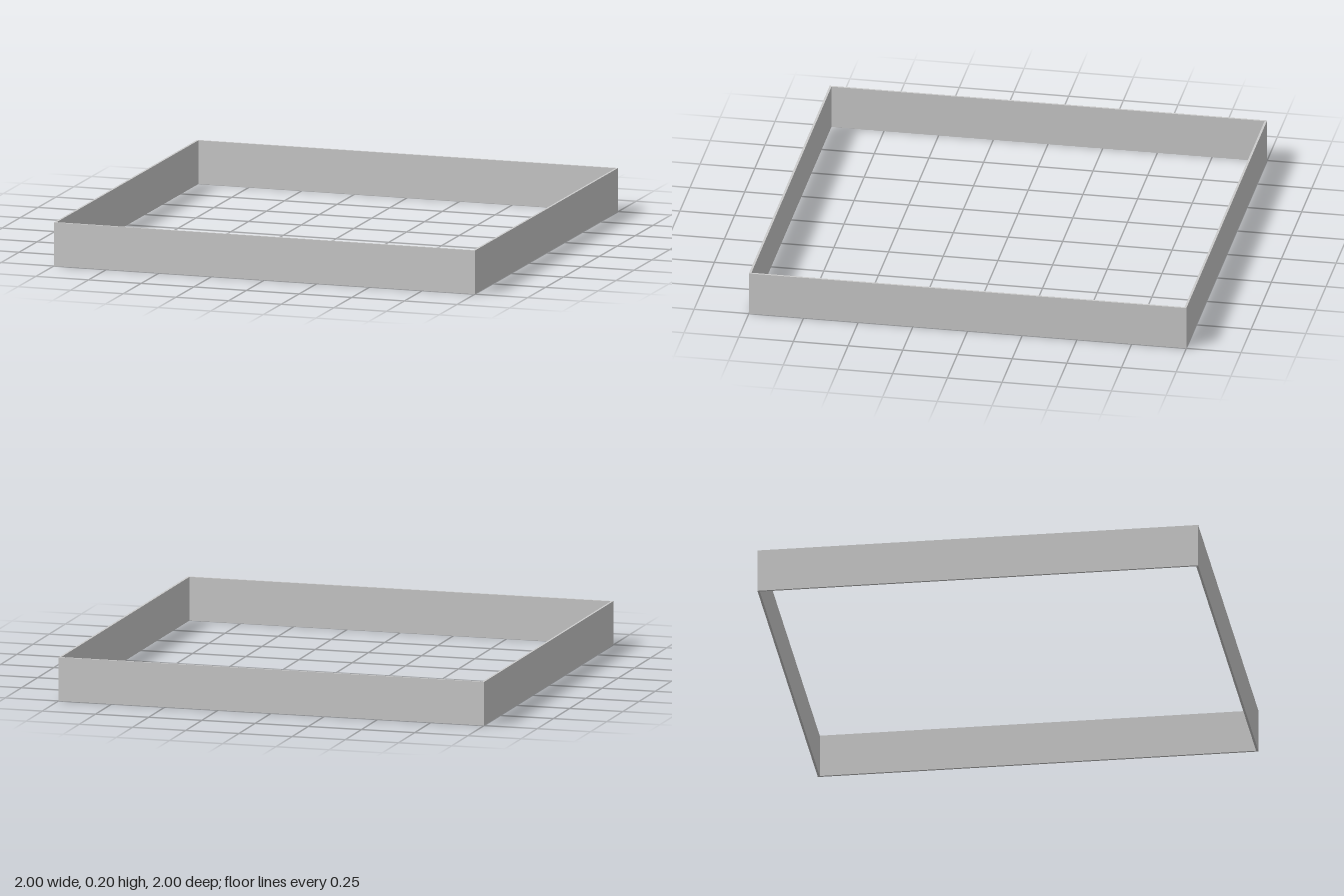
import * as THREE from 'three';

const SIZE = 2, HEIGHT = 0.2, WALL = 0.01;

// Closed square outline centred on the origin
function square(PathType, half) {
  return new PathType([[-half, -half], [half, -half], [half, half], [-half, half]]
    .map(([x, y]) => new THREE.Vector2(x, y)));
}

export function createModel() {
  const group = new THREE.Group();
  group.name = 'squareFrame';

  // Thin upright walls around an open square, mitred into one piece
  const outline = square(THREE.Shape, SIZE / 2);
  outline.holes.push(square(THREE.Path, SIZE / 2 - WALL));
  const geometry = new THREE.ExtrudeGeometry(outline, { depth: HEIGHT, bevelEnabled: false });
  geometry.rotateX(-Math.PI / 2);

  const walls = new THREE.Mesh(geometry, new THREE.MeshStandardMaterial({ color: 0xcccccc }));
  walls.name = 'frameWalls';
  group.add(walls);
  return group;
}
